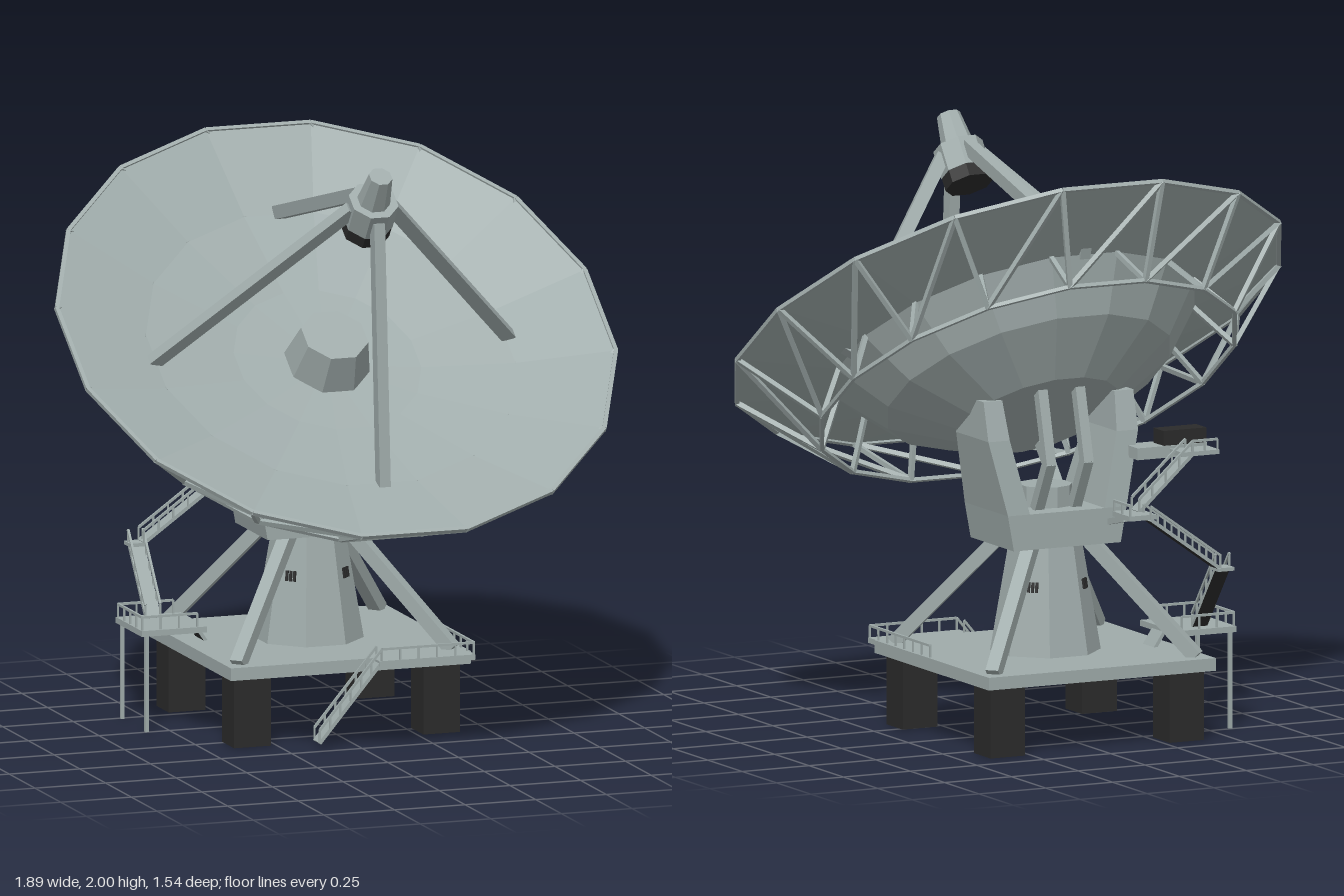
import * as THREE from 'three';

const make = (name, color) => {
  const m = new THREE.MeshStandardMaterial({ color, flatShading: true, side: THREE.DoubleSide });
  m.name = name;
  return m;
};

export function createModel() {
  const root = new THREE.Group();
  root.name = 'dishAntenna';
  const grey = make('paintedGrey', 0x9fabaa);
  const dark = make('darkGrey', 0x2a2a2a);
  const darkBelow = [grey, grey, grey, dark, grey, grey];
  const V = (x, y, z) => new THREE.Vector3(x, y, z);

  const add = (parent, name, geo, mat, x = 0, y = 0, z = 0) => {
    const m = new THREE.Mesh(geo, mat);
    m.name = name;
    m.position.set(x, y, z);
    parent.add(m);
    return m;
  };
  // Box given by its limits
  const block = (parent, name, x0, x1, y0, y1, z0, z1, mat = grey) =>
    add(parent, name, new THREE.BoxGeometry(x1 - x0, y1 - y0, z1 - z0), mat,
      (x0 + x1) / 2, (y0 + y1) / 2, (z0 + z1) / 2);
  // Box-section bar between two points
  const beam = (parent, name, a, b, w, h = w, mat = grey) => {
    const m = new THREE.Mesh(new THREE.BoxGeometry(w, h, a.distanceTo(b)), mat);
    m.name = name;
    m.position.copy(a).add(b).multiplyScalar(0.5);
    m.lookAt(b);
    parent.add(m);
    return m;
  };
  // Box whose bottom and top rectangles differ: [x0, x1, z0, z1]
  const taper = (parent, name, y0, lo, y1, hi) => {
    const g = new THREE.BoxGeometry(1, 1, 1);
    const p = g.attributes.position;
    for (let i = 0; i < p.count; i++) {
      const up = p.getY(i) > 0, r = up ? hi : lo;
      p.setXYZ(i, p.getX(i) < 0 ? r[0] : r[1], up ? y1 : y0, p.getZ(i) < 0 ? r[2] : r[3]);
    }
    return add(parent, name, g, grey);
  };
  // Handrail with posts
  const railing = (parent, a, b, h = 0.045) => {
    const up = V(0, h, 0), n = Math.max(1, Math.round(a.distanceTo(b) / 0.06));
    beam(parent, 'handrail', a.clone().add(up), b.clone().add(up), 0.008);
    for (let i = 0; i <= n; i++) {
      const p = a.clone().lerp(b, i / n);
      beam(parent, 'railPost', p, p.clone().add(up), 0.006);
    }
  };
  // Stair flight: sloping deck with railings on both sides
  const flight = (parent, a, b, side) => {
    beam(parent, 'stairDeck', a, b, 0.055, 0.012, darkBelow);
    for (const s of [-1, 1]) {
      const o = side.clone().multiplyScalar(0.026 * s);
      railing(parent, a.clone().add(o), b.clone().add(o));
    }
  };

  // ---- Foundation and platform ----
  const base = new THREE.Group();
  base.name = 'base';
  root.add(base);
  const cz = -0.275;
  block(base, 'platform', -0.425, 0.425, 0.237, 0.28, cz - 0.415, cz + 0.415, darkBelow);
  for (const sx of [-1, 1]) for (const sz of [-1, 1]) {
    add(base, 'footing', new THREE.BoxGeometry(0.13, 0.237, 0.12), dark, 0.335 * sx, 0.1185, cz + 0.318 * sz);
    beam(base, 'brace', V(0.38 * sx, 0.28, cz + 0.36 * sz), V(0.1 * sx, 0.67, cz + 0.1 * sz), 0.045);
  }

  // ---- Octagonal tower with vents ----
  const tower = new THREE.CylinderGeometry(0.12, 0.185, 0.38, 8);
  tower.rotateY(Math.PI / 8);
  add(base, 'tower', tower, grey, 0, 0.47, cz);
  for (let k = 0; k < 4; k++) {
    const pivot = new THREE.Group();
    pivot.name = 'vent';
    pivot.position.set(0, 0.51, cz);
    pivot.rotation.y = Math.PI / 4 + k * Math.PI / 2;
    base.add(pivot);
    for (let i = -1; i <= 1; i++)
      add(pivot, 'ventSlot', new THREE.BoxGeometry(0.009, 0.035, 0.008), dark, i * 0.014, 0, 0.137).rotation.x = -0.157;
  }

  // ---- Yoke ----
  const yoke = new THREE.Group();
  yoke.name = 'yoke';
  root.add(yoke);
  taper(yoke, 'yokeBase', 0.65, [-0.2, 0.2, -0.435, -0.12], 0.77, [-0.222, 0.222, -0.435, -0.12]);
  for (const s of [-1, 1]) {
    const r = (a, b, c, d) => (s > 0 ? [a, b, c, d] : [-b, -a, c, d]);
    taper(yoke, 'yokeArm', 0.77, r(0.14, 0.222, -0.435, -0.12), 1.02, r(0.2, 0.28, -0.405, -0.17));
    taper(yoke, 'yokeArmTop', 1.02, r(0.2, 0.28, -0.405, -0.17), 1.15, r(0.21, 0.28, -0.37, -0.21));
    beam(yoke, 'frontLink', V(0.1 * s, 0.78, -0.19), V(0.1 * s, 0.95, -0.04), 0.035);
    beam(yoke, 'rearLink', V(0.07 * s, 0.93, -0.44), V(0.07 * s, 1.2, -0.37), 0.035);
    beam(yoke, 'rearLinkFoot', V(0.07 * s, 0.77, -0.35), V(0.07 * s, 0.94, -0.44), 0.035);
  }
  add(yoke, 'driveDrum', new THREE.CylinderGeometry(0.09, 0.09, 0.07, 10), grey, 0, 0.805, cz);

  // ---- Reflector, built upright then tilted ----
  const dish = new THREE.Group();
  dish.name = 'dish';
  dish.position.y = 1.377;
  dish.rotation.x = 0.622;
  root.add(dish);
  const N = 16, off = Math.PI / N, R = 0.958;
  const lathe = (pts) => new THREE.LatheGeometry(pts.map(p => new THREE.Vector2(...p)), N, off);
  add(dish, 'reflector', lathe([[0, -0.17], [0.32, -0.151], [0.63, -0.097], [R, 0]]), grey);
  add(dish, 'backShell', lathe([[0, -0.39], [0.28, -0.39], [0.495, -0.264], [0.63, -0.1]]), grey);
  const hub = new THREE.CylinderGeometry(0.115, 0.148, 0.14, 8);
  hub.rotateY(Math.PI / 8);
  add(dish, 'hub', hub, grey, 0, -0.1, 0);

  // Rim and back truss
  const at = (r, y, i) => {
    const a = off + i * 2 * Math.PI / N;
    return V(r * Math.sin(a), y, r * Math.cos(a));
  };
  for (let i = 0; i < N; i++) {
    const rim = at(R - 0.005, -0.004, i), rim2 = at(R - 0.005, -0.004, i + 1);
    const low = at(0.726, -0.257, i), low2 = at(0.726, -0.257, i + 1);
    beam(dish, 'rimBar', rim, rim2, 0.014);
    beam(dish, 'lowerRingBar', low, low2, 0.013);
    beam(dish, 'trussPost', rim, low, 0.016);
    beam(dish, 'trussDiagonal', low, rim2, 0.016);
    beam(dish, 'trussTie', low, at(0.625, -0.1, i), 0.016);
  }

  // Feed and its four legs
  for (let k = 0; k < 4; k++) {
    const a = k * Math.PI / 2, p = (r, y) => V(r * Math.sin(a), y, r * Math.cos(a));
    const from = p(0.63, -0.1), to = p(0.07, 0.585);
    beam(dish, 'feedLeg', from, to, 0.038, 0.045);
  }
  const feed = (name, r1, r0, y0, y1, mat) => {
    const g = new THREE.CylinderGeometry(r1, r0, y1 - y0, 8);
    g.rotateY(Math.PI / 8);
    add(dish, name, g, mat, 0, (y0 + y1) / 2, 0);
  };
  feed('feedHousing', 0.085, 0.085, 0.52, 0.62, grey);
  feed('feedHorn', 0.04, 0.056, 0.62, 0.737, grey);
  feed('feedWindow', 0.083, 0.083, 0.475, 0.52, dark);

  // ---- Front stair, walkway and railings ----
  const access = new THREE.Group();
  access.name = 'access';
  root.add(access);
  const X = V(1, 0, 0), Z = V(0, 0, 1);
  flight(access, V(-0.13, 0.015, 0.168), V(0.09, 0.275, 0.168), Z);
  block(access, 'frontWalkway', 0.08, 0.42, 0.262, 0.28, 0.14, 0.198, darkBelow);
  railing(access, V(0.09, 0.28, 0.195), V(0.415, 0.28, 0.195), 0.04);
  railing(access, V(0.415, 0.28, 0.195), V(0.415, 0.28, -0.245), 0.04);

  // ---- Side landing on posts ----
  block(access, 'lowerLanding', -0.6, -0.37, 0.325, 0.345, -0.5, -0.245, darkBelow);
  for (const z of [-0.255, -0.49]) {
    beam(access, 'landingPost', V(-0.58, 0, z), V(-0.58, 0.33, z), 0.012);
    railing(access, V(-0.595, 0.345, z), V(-0.4, 0.345, z));
  }
  railing(access, V(-0.595, 0.345, -0.49), V(-0.595, 0.345, -0.255));
  beam(access, 'landingStep', V(-0.38, 0.335, -0.37), V(-0.34, 0.275, -0.37), 0.08, 0.012, darkBelow);

  // ---- Zigzag stairs up to the drive cabin ----
  flight(access, V(-0.49, 0.345, -0.44), V(-0.49, 0.57, -0.61), X);
  block(access, 'turnLanding', -0.52, -0.46, 0.56, 0.572, -0.64, -0.58, darkBelow);
  flight(access, V(-0.47, 0.57, -0.608), V(-0.21, 0.755, -0.608), Z);
  block(access, 'middleLanding', -0.23, -0.13, 0.755, 0.772, -0.635, -0.51, darkBelow);
  railing(access, V(-0.135, 0.772, -0.63), V(-0.135, 0.772, -0.515), 0.035);
  beam(access, 'middleLandingArm', V(-0.16, 0.75, -0.55), V(-0.16, 0.72, -0.42), 0.02);
  flight(access, V(-0.2, 0.77, -0.542), V(-0.4, 0.95, -0.542), Z);
  block(access, 'upperLanding', -0.5, -0.36, 0.945, 0.96, -0.57, -0.43, darkBelow);
  railing(access, V(-0.495, 0.96, -0.565), V(-0.4, 0.96, -0.565), 0.035);
  block(access, 'cabinFloor', -0.5, -0.24, 0.93, 0.97, -0.48, -0.38);
  block(access, 'driveCabin', -0.5, -0.34, 0.97, 1.02, -0.475, -0.4, dark);

  return root;
}
